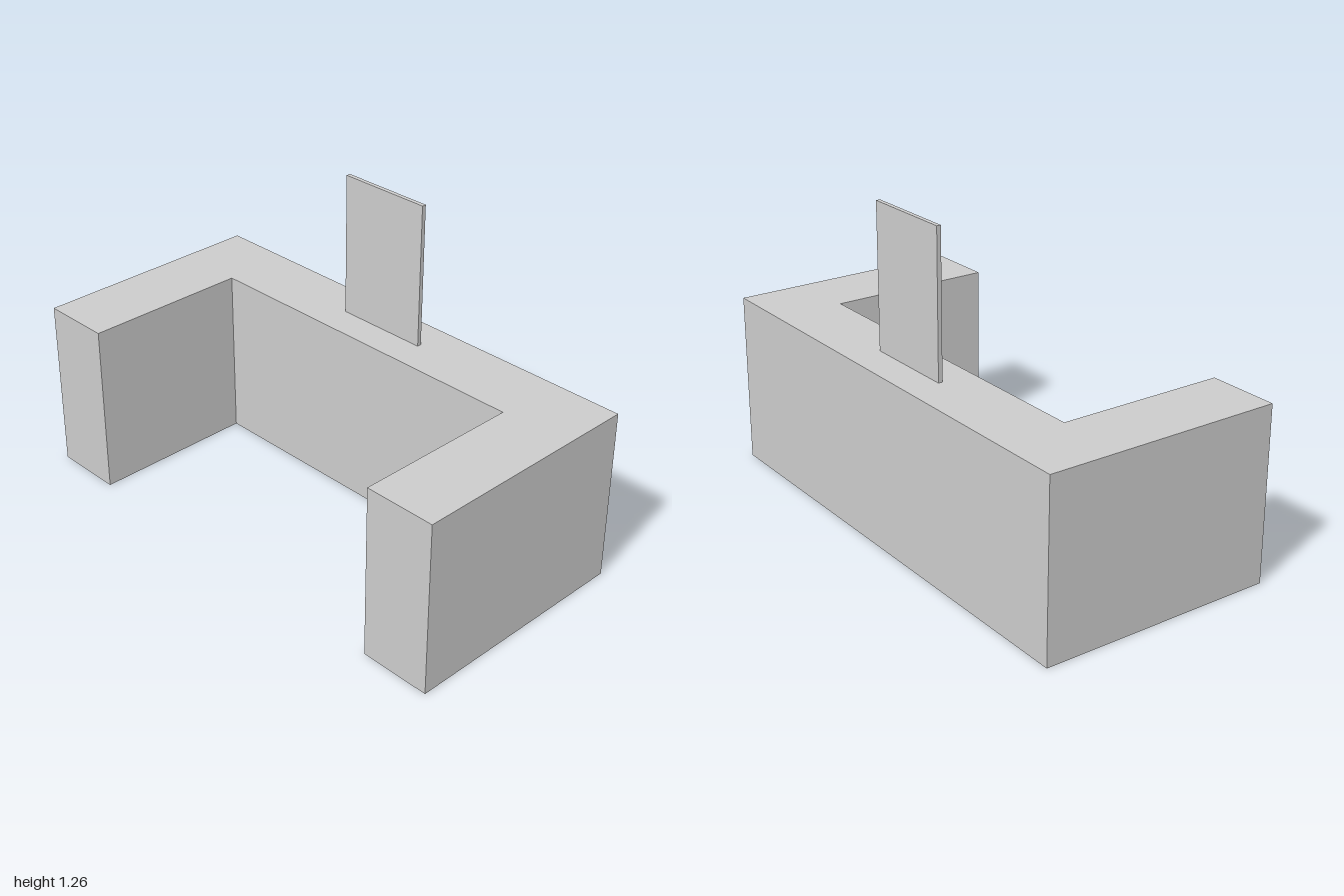
import * as THREE from 'three';

export function createModel() {
  const model = new THREE.Group();
  const material = new THREE.MeshStandardMaterial({ color: 0xcccccc, flatShading: true });

  const height = 0.69;
  const halfWidth = 1, halfDepth = 0.475;
  const innerX = 0.715, innerZ = -0.195;

  // U-shaped counter, open to the front: plan drawn as (x, -z), raised along y
  const plan = new THREE.Shape([
    [-halfWidth, -halfDepth],
    [-innerX, -halfDepth],
    [-innerX, -innerZ],
    [innerX, -innerZ],
    [innerX, -halfDepth],
    [halfWidth, -halfDepth],
    [halfWidth, halfDepth],
    [-halfWidth, halfDepth],
  ].map(([x, y]) => new THREE.Vector2(x, y)));
  const counterGeometry = new THREE.ExtrudeGeometry(plan, { depth: height, bevelEnabled: false });
  counterGeometry.rotateX(-Math.PI / 2);
  const counter = new THREE.Mesh(counterGeometry, material);
  counter.name = 'counter';
  model.add(counter);

  // Thin upright panel standing on the back run
  const panelHeight = 0.57;
  const panel = new THREE.Mesh(new THREE.BoxGeometry(0.383, panelHeight, 0.017), material);
  panel.name = 'uprightPanel';
  panel.position.set(-0.003, height + panelHeight / 2, -0.333);
  model.add(panel);

  return model;
}
